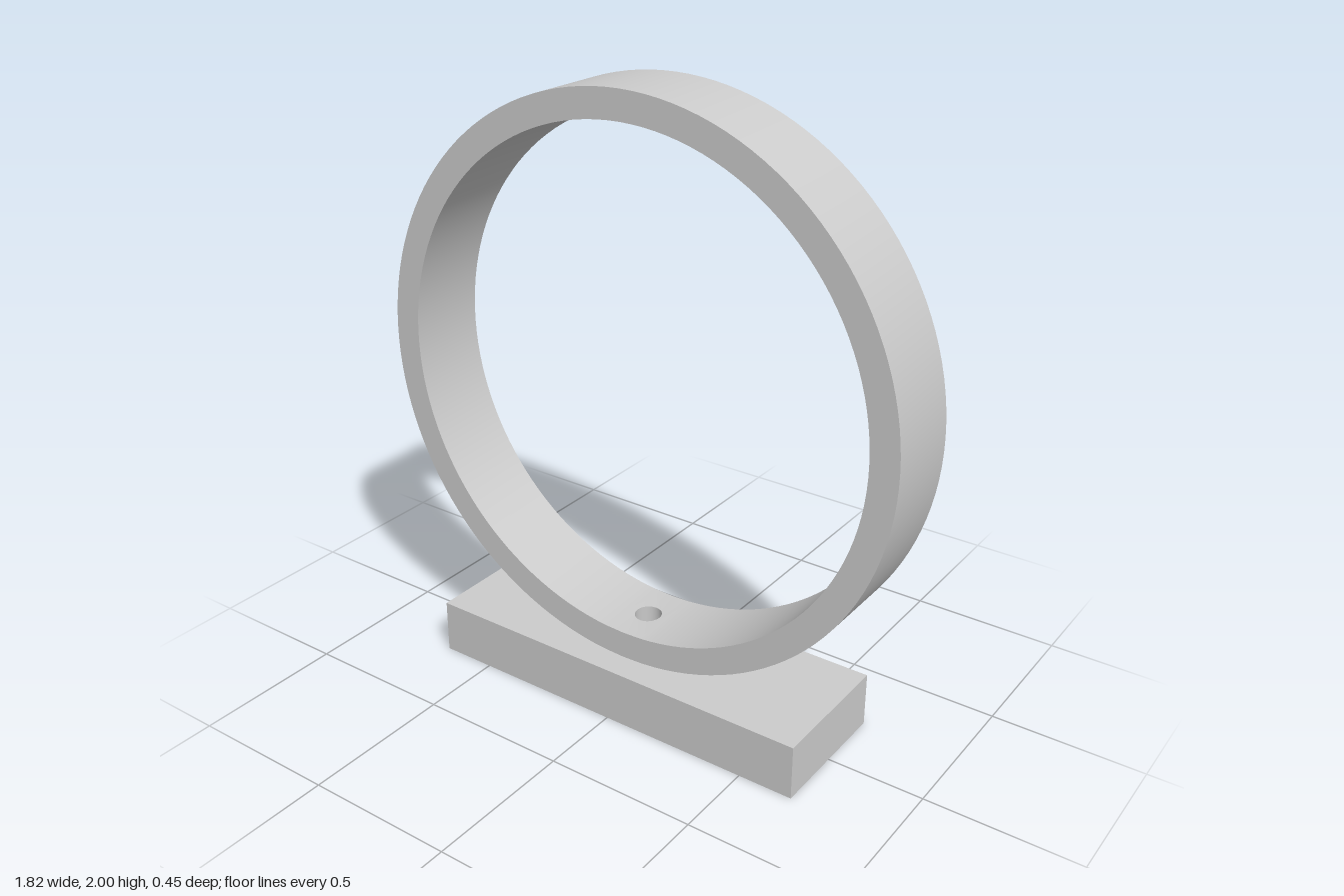
import * as THREE from 'three';
import { mergeGeometries, toCreasedNormals } from 'three/addons/utils/BufferGeometryUtils.js';

// Worked in small units: 22 of them make one unit of the finished model.
const SCALE = 1 / 22;
const INNER = 18, OUTER = 20, HALF_WIDTH = 3;   // ring
const BASE_X = 15, BASE_Z = 5, BASE_H = 4;      // base half sizes and height
const WALL = 2, ROOF = 1, HOLE = 1;
const PATCH = 0.08;                             // half angle of the drilled piece

const material = new THREE.MeshStandardMaterial({ color: 0xcccccc });

function rectangle(hx, hy, Kind = THREE.Shape) {
  return new Kind([[-hx, -hy], [0, -hy], [hx, -hy], [hx, hy], [0, hy], [-hx, hy]]
    .map(([x, y]) => new THREE.Vector2(x, y)));
}

function extrude(shape, hole, depth) {
  shape.holes.push(hole);
  return new THREE.ExtrudeGeometry(shape, { depth, bevelEnabled: false, curveSegments: 16 });
}

function roundHole() {
  return new THREE.Path().absarc(0, 0, HOLE, 0, Math.PI * 2, true);
}

function addPart(group, name, geometry) {
  const mesh = new THREE.Mesh(toCreasedNormals(geometry, 0.6), material);
  mesh.geometry.scale(SCALE, SCALE, SCALE);
  mesh.name = name;
  group.add(mesh);
}

// Most of the ring: a rectangular section swept round, open at the bottom
function ringArc() {
  const section = [[OUTER, -1], [OUTER, 1], [INNER, 1], [INNER, -1], [OUTER, -1]]
    .map(([r, s]) => new THREE.Vector2(r, s * HALF_WIDTH));
  return new THREE.LatheGeometry(section, 126, Math.PI + PATCH, 2 * (Math.PI - PATCH))
    .rotateX(-Math.PI / 2)
    .translate(0, BASE_H + OUTER, 0)
    .toNonIndexed();
}

// Drilled piece closing the ring: a flat plate bent round the ring's centre
function ringDrilledPiece() {
  const mid = (INNER + OUTER) / 2, half = mid * PATCH;
  const plate = extrude(rectangle(half, HALF_WIDTH), roundHole(), OUTER - INNER);
  const p = plate.attributes.position;
  const points = [];
  for (let i = 0; i < p.count; i += 3) {
    // Leave out the two end faces, where the plate meets the arc
    const xs = [p.getX(i), p.getX(i + 1), p.getX(i + 2)];
    if (xs.every(x => x > half - 1e-4) || xs.every(x => x < -half + 1e-4)) continue;
    for (let j = i; j < i + 3; j++) {
      const angle = p.getX(j) / mid, r = INNER + p.getZ(j);
      points.push(r * Math.sin(angle), BASE_H + OUTER - r * Math.cos(angle), p.getY(j));
    }
  }
  const bent = new THREE.BufferGeometry();
  bent.setAttribute('position', new THREE.Float32BufferAttribute(points, 3));
  return bent;
}

export function createModel() {
  const group = new THREE.Group();
  group.name = 'ringOnBase';

  // Ring with a small hole at its lowest point
  const arc = ringArc();
  arc.deleteAttribute('uv');
  arc.deleteAttribute('normal');
  addPart(group, 'ring', mergeGeometries([arc, ringDrilledPiece()]));

  // Base: four walls open underneath, and a drilled roof
  const base = new THREE.Group();
  base.name = 'base';
  group.add(base);
  const cavity = rectangle(BASE_X - WALL, BASE_Z - WALL, THREE.Path);
  addPart(base, 'baseWalls',
    extrude(rectangle(BASE_X, BASE_Z), cavity, BASE_H - ROOF).rotateX(-Math.PI / 2));
  addPart(base, 'baseRoof',
    extrude(rectangle(BASE_X, BASE_Z), roundHole(), ROOF)
      .rotateX(-Math.PI / 2).translate(0, BASE_H - ROOF, 0));

  return group;
}
